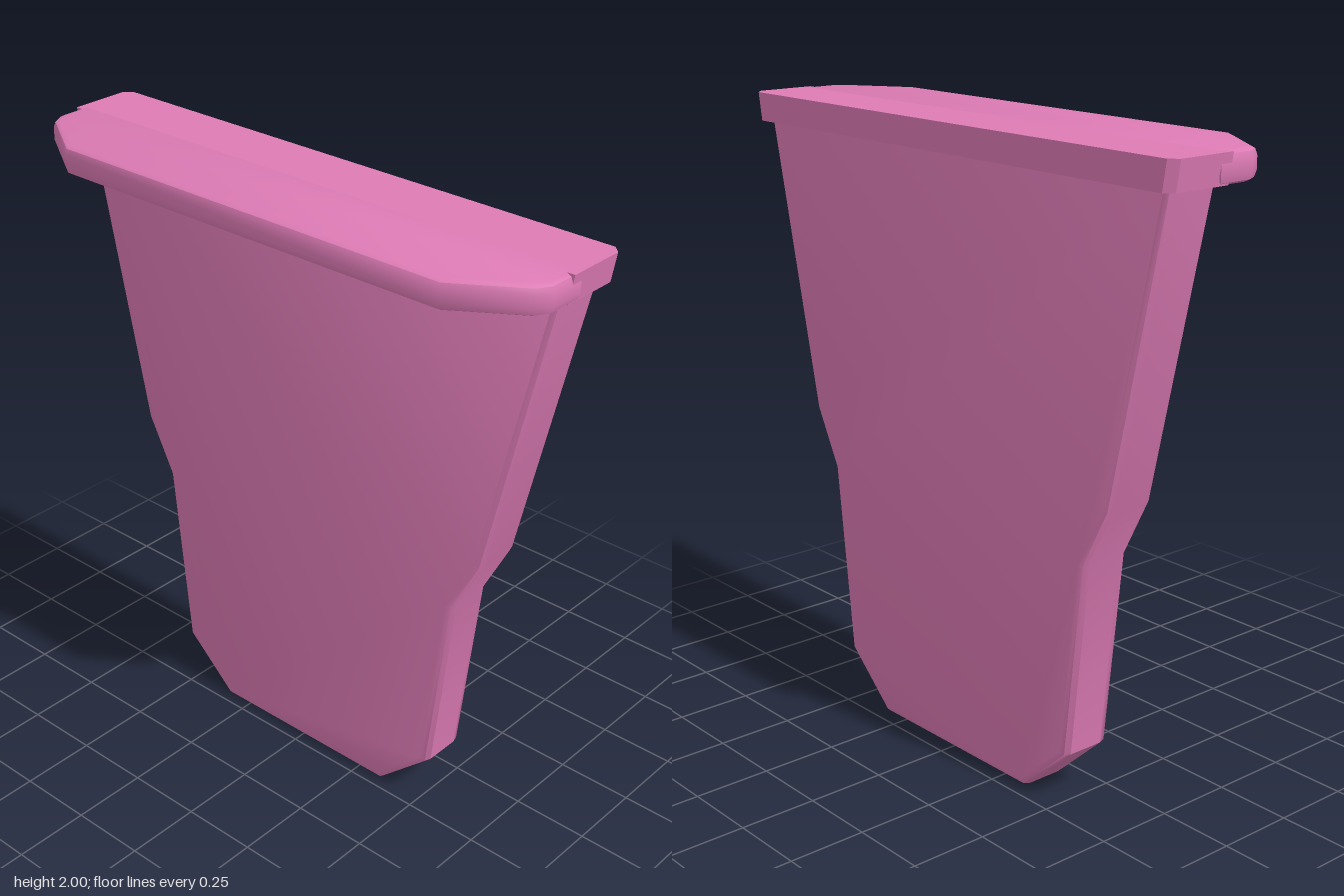
import * as THREE from 'three';
import { toCreasedNormals } from 'three/addons/utils/BufferGeometryUtils.js';

const material = new THREE.MeshStandardMaterial({ color: 0xdd7bb5 });

// Outline mirrored about the vertical axis: half is a list of [u, v], walked bottom to top at +u.
function mirroredShape(half) {
  const left = half.map(([u, v]) => [-u, v]).reverse();
  return new THREE.Shape([...half, ...left].map(([u, v]) => new THREE.Vector2(u, v)));
}

// Slab of the given total thickness whose bevels stay inside the outline.
function slab(shape, thickness, bevelThickness, bevelSize, bevelSegments) {
  return new THREE.ExtrudeGeometry(shape, {
    depth: thickness - 2 * bevelThickness,
    bevelEnabled: true,
    bevelThickness, bevelSize, bevelOffset: -bevelSize, bevelSegments,
  }).translate(0, 0, bevelThickness);
}

function addPart(group, name, geometry, crease = 0.7) {
  const mesh = new THREE.Mesh(toCreasedNormals(geometry, crease), material);
  mesh.name = name;
  group.add(mesh);
}

export function createModel() {
  const group = new THREE.Group();
  group.name = 'taperedPanel';

  // Tapered upright panel, outlined in z and y, extruded along x
  const panelShape = mirroredShape([
    [0.345, 0], [0.53, 0.17], [0.6, 0.795], [0.695, 0.98], [0.91, 1.95],
  ]);
  const panel = slab(panelShape, 0.18, 0.03, 0.022, 2);
  panel.rotateY(Math.PI / 2).translate(0.03, 0, 0);
  addPart(group, 'panel', panel);

  // Rim along the top, with clipped outer corners and ends flaring upward
  const rimShape = mirroredShape([
    [0.945, -0.24], [0.945, 0],
  ]);
  rimShape.curves.length = 0;
  rimShape.setFromPoints([
    [0.02, -0.945], [0.215, -0.945], [0.24, -0.92],
    [0.24, 0.92], [0.215, 0.945], [0.02, 0.945],
  ].map(([x, z]) => new THREE.Vector2(x, z)));
  const rim = new THREE.ExtrudeGeometry(rimShape, { depth: 0.09, bevelEnabled: false });
  rim.rotateX(-Math.PI / 2).translate(0, 1.91, 0);
  const p = rim.attributes.position;
  for (let i = 0; i < p.count; i++) {
    if (p.getY(i) < 1.95) p.setZ(i, p.getZ(i) - 0.015 * Math.sign(p.getZ(i)));
  }
  addPart(group, 'rim', rim, 0.5);

  // Overhanging ledge with cut corners and softened edges
  const ledgeShape = new THREE.Shape([
    [0.06, -0.94], [-0.06, -0.94], [-0.105, -0.915], [-0.24, -0.71],
    [-0.24, 0.71], [-0.105, 0.915], [-0.06, 0.94], [0.06, 0.94],
  ].map(([x, z]) => new THREE.Vector2(x, z)));
  const ledge = slab(ledgeShape, 0.09, 0.025, 0.02, 2);
  ledge.rotateX(-Math.PI / 2).translate(0, 1.91, 0);
  // Keep the inner edge buried in the rim
  addPart(group, 'ledge', ledge);

  return group;
}
